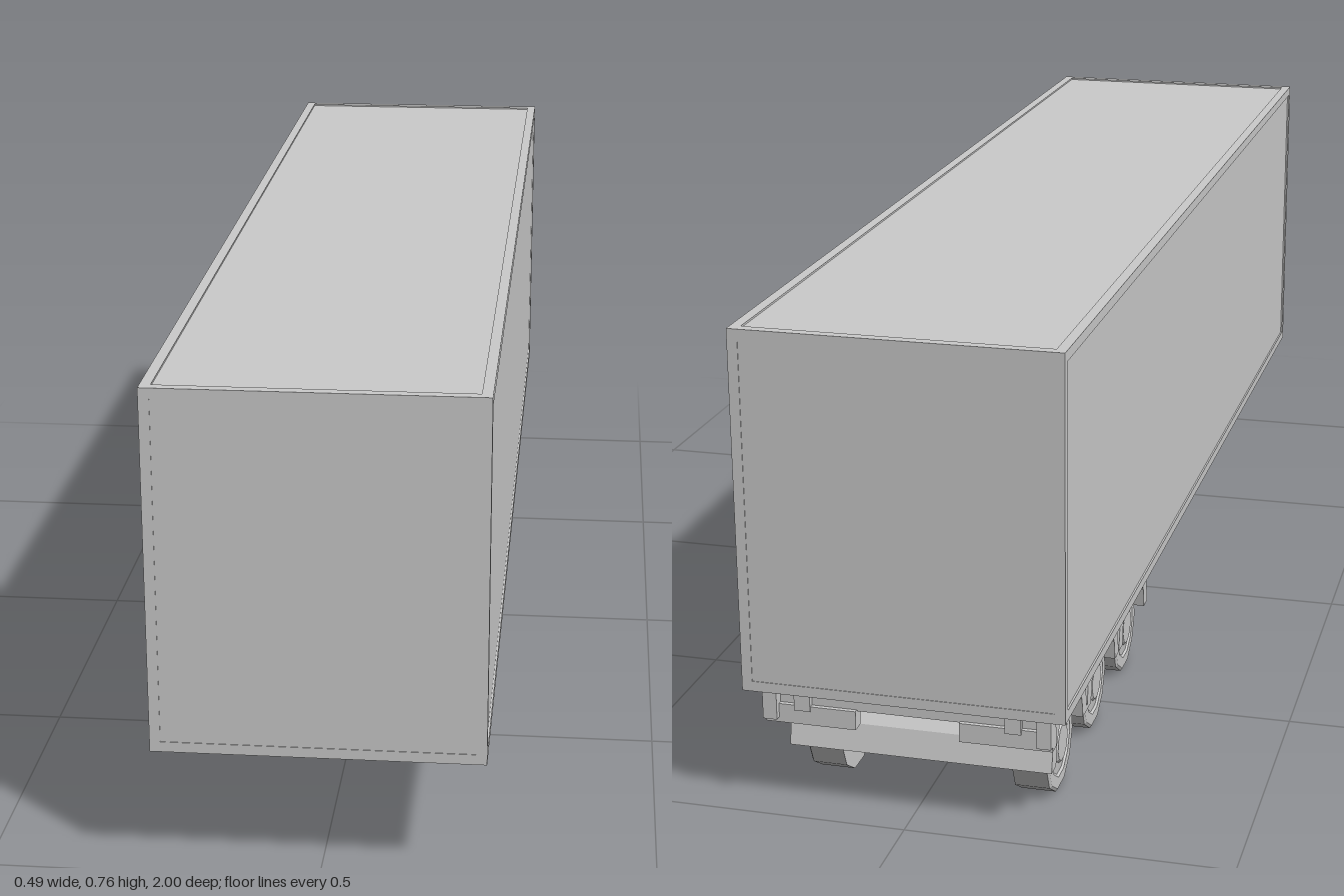
import * as THREE from 'three';

const material = new THREE.MeshStandardMaterial({ color: 0xcccccc, flatShading: true });

// Box given by its limits on each axis
function box(name, [x0, x1], [y0, y1], [z0, z1]) {
  const mesh = new THREE.Mesh(new THREE.BoxGeometry(x1 - x0, y1 - y0, z1 - z0), material);
  mesh.position.set((x0 + x1) / 2, (y0 + y1) / 2, (z0 + z1) / 2);
  mesh.name = name;
  return mesh;
}

// Cargo box: slightly recessed panels framed by rails on all twelve edges
function cargoBody() {
  const group = new THREE.Group();
  group.name = 'cargoBody';
  const W = 0.247, Y0 = 0.2, Y1 = 0.76, t = 0.016, r = 0.003;
  group.add(box('panels', [-W + r, W - r], [Y0 + r, Y1 - r], [-0.999, 0.999]));
  const xs = [[-W, -W + t], [W - t, W]];
  const ys = [[Y0, Y0 + t], [Y1 - t, Y1]];
  const zs = [[-1, -1 + t], [1 - t, 1]];
  for (const y of ys) for (const x of xs) group.add(box('longRail', x, y, [-1, 1]));
  for (const z of zs) {
    for (const x of xs) group.add(box('cornerPost', x, [Y0 + t, Y1 - t], z));
    for (const y of ys) group.add(box('crossRail', [-W + t, W - t], y, z));
  }
  return group;
}

// Full-width arched mudguard
function fenderGeometry() {
  const outer = 0.113, inner = 0.086, steps = 8;
  const points = [];
  for (let i = 0; i <= steps; i++) {
    const a = (i / steps) * Math.PI;
    points.push(new THREE.Vector2(outer * Math.cos(a), outer * Math.sin(a)));
  }
  for (let i = steps; i >= 0; i--) {
    const a = (i / steps) * Math.PI;
    points.push(new THREE.Vector2(inner * Math.cos(a), inner * Math.sin(a)));
  }
  const geometry = new THREE.ExtrudeGeometry(new THREE.Shape(points), { depth: 0.412, bevelEnabled: false });
  return geometry.translate(0, 0, -0.206).rotateY(Math.PI / 2);
}

// Low-poly wheel with a shallow hub, axis along x, resting on a flat
function wheelGeometry(side) {
  const sides = 11;
  const profile = [
    [0, 0.135], [0.0785, 0.135], [0.0785, 0.189], [0.074, 0.192],
    [0.056, 0.192], [0.052, 0.189], [0.034, 0.191], [0.03, 0.195], [0, 0.195],
  ].map(([r, h]) => new THREE.Vector2(r, h));
  const start = side * Math.PI / 2 + Math.PI / sides;
  return new THREE.LatheGeometry(profile, sides, start).rotateZ(-side * Math.PI / 2);
}

// Rear crossbar with hanging light panels
function rearBumper() {
  const group = new THREE.Group();
  group.name = 'rearBumper';
  group.add(box('crossbar', [-0.2, 0.2], [0.17, 0.192], [-0.968, -0.952]));
  const span = (s, a, b) => (s > 0 ? [a, b] : [-b, -a]);
  for (const s of [1, -1]) {
    group.add(box('lightPanel', span(s, 0.08, 0.222), [0.142, 0.172], [-0.975, -0.952]));
    group.add(box('endLight', span(s, 0.2, 0.222), [0.15, 0.195], [-0.985, -0.955]));
    group.add(box('hanger', span(s, 0.15, 0.175), [0.165, 0.203], [-0.978, -0.955]));
  }
  return group;
}

export function createModel() {
  const model = new THREE.Group();
  model.name = 'semiTrailer';
  model.add(cargoBody());

  // Under-floor frame
  model.add(box('frontFrame', [-0.155, 0.155], [0.163, 0.202], [-0.21, 0.33]));
  model.add(box('axleFrame', [-0.172, 0.172], [0.088, 0.202], [-0.85, -0.21]));

  // Three axles, each with a mudguard and a pair of wheels
  const fender = fenderGeometry();
  const wheels = { 1: wheelGeometry(1), '-1': wheelGeometry(-1) };
  for (const z of [-0.353, -0.58, -0.806]) {
    const axle = new THREE.Group();
    axle.name = 'axle';
    axle.position.z = z;
    const guard = new THREE.Mesh(fender, material);
    guard.name = 'mudguard';
    guard.position.y = 0.077;
    axle.add(guard);
    for (const s of [1, -1]) {
      const wheel = new THREE.Mesh(wheels[s], material);
      wheel.name = s > 0 ? 'leftWheel' : 'rightWheel';
      wheel.position.y = 0.0753;
      axle.add(wheel);
    }
    model.add(axle);
  }

  model.add(rearBumper());
  return model;
}
